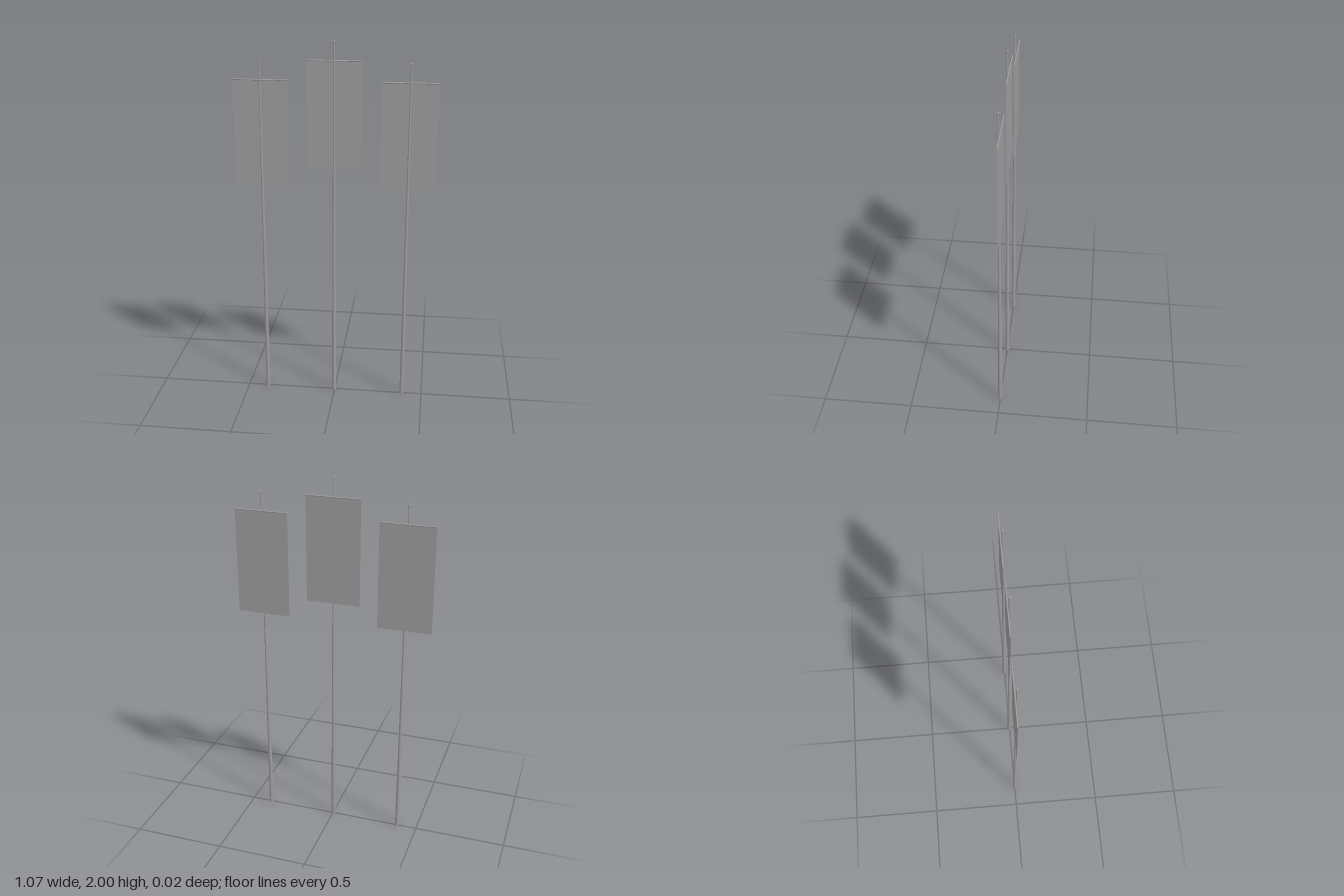
import * as THREE from 'three';

const material = new THREE.MeshStandardMaterial({ color: 0x9d9d9d });
const clothMaterial = new THREE.MeshStandardMaterial({ color: 0x9d9d9d, side: THREE.DoubleSide });

const FLAG_WIDTH = 0.29;
const FLAG_HEIGHT = 0.57;
const FLAG_Z = -0.009;

function addPart(parent, name, geometry, mat, x, y, z) {
  const mesh = new THREE.Mesh(geometry, mat);
  mesh.name = name;
  mesh.position.set(x, y, z);
  parent.add(mesh);
  return mesh;
}

// One banner: tapered pole, small ball on top, crossbar and hanging cloth
function createBanner(name, x, height) {
  const banner = new THREE.Group();
  banner.name = name;
  banner.position.x = x;

  const poleHeight = height - 0.005;
  const flagTop = height - 0.1;

  addPart(banner, 'pole', new THREE.CylinderGeometry(0.0038, 0.0123, poleHeight, 12),
    material, 0, poleHeight / 2, 0);
  addPart(banner, 'finial', new THREE.SphereGeometry(0.006, 12, 8),
    material, 0, height - 0.006, 0);

  const bar = addPart(banner, 'crossbar', new THREE.CylinderGeometry(0.0037, 0.0037, FLAG_WIDTH, 8),
    material, 0, flagTop - 0.003, FLAG_Z);
  bar.rotation.z = Math.PI / 2;

  addPart(banner, 'flagCloth', new THREE.PlaneGeometry(FLAG_WIDTH, FLAG_HEIGHT),
    clothMaterial, 0, flagTop - FLAG_HEIGHT / 2, FLAG_Z);
  return banner;
}

export function createModel() {
  const model = new THREE.Group();
  model.name = 'bannerRow';
  model.add(
    createBanner('rightBanner', -0.389, 1.895),
    createBanner('middleBanner', -0.003, 2),
    createBanner('leftBanner', 0.388, 1.895),
  );
  return model;
}
